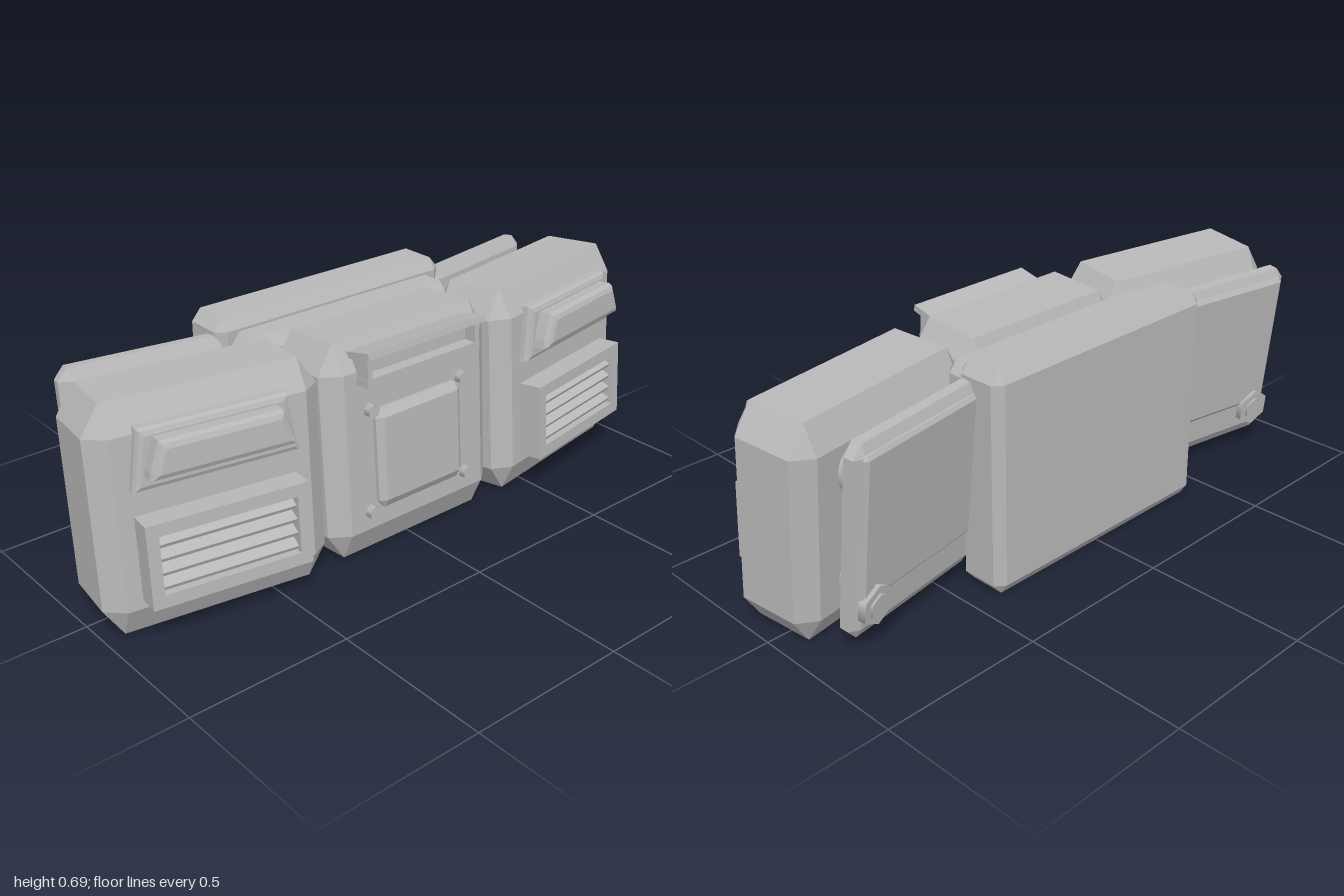
import * as THREE from 'three';
import { ConvexGeometry } from 'three/addons/geometries/ConvexGeometry.js';

const grey = new THREE.MeshStandardMaterial({ color: 0xb8b8b8 });
grey.name = 'plain grey';

function add(parent, name, geometry, x = 0, y = 0, z = 0) {
  const mesh = new THREE.Mesh(geometry, grey);
  mesh.name = name;
  mesh.position.set(x, y, z);
  parent.add(mesh);
  return mesh;
}

// Box with every edge cut off; h = half sizes, c = cut along each axis
function cutBox([hx, hy, hz], [cx, cy, cz]) {
  const points = [];
  for (const x of [-1, 1]) for (const y of [-1, 1]) for (const z of [-1, 1]) {
    points.push(
      new THREE.Vector3(x * (hx - cx), y * (hy - cy), z * hz),
      new THREE.Vector3(x * (hx - cx), y * hy, z * (hz - cz)),
      new THREE.Vector3(x * hx, y * (hy - cy), z * (hz - cz)));
  }
  return new ConvexGeometry(points);
}

const box = (w, h, d) => new THREE.BoxGeometry(w, h, d);

// Upright trapezoid with bevelled front, starting at z = 0
function trapezoid(bottom, top, h, depth, bevel) {
  const shape = new THREE.Shape([
    [-bottom, -h], [bottom, -h], [bottom - 0.005, -h + 0.025],
    [top, h], [-top, h], [-bottom + 0.005, -h + 0.025],
  ].map(([x, y]) => new THREE.Vector2(x, y)));
  return new THREE.ExtrudeGeometry(shape, {
    depth: depth - bevel, bevelThickness: bevel, bevelSize: bevel,
    bevelOffset: -bevel, bevelSegments: 2,
  });
}

// Flat-sided bolt lying along z
function bolt(parent, name, radius, depth, x, y, z, sides = 6) {
  const g = new THREE.CylinderGeometry(radius, radius, depth, sides).rotateX(Math.PI / 2);
  return add(parent, name, sides > 8 ? g : g.toNonIndexed(), x, y, z);
}

function tilted(parent, name, x, y, z, yaw, tilt) {
  const g = new THREE.Group();
  g.name = name;
  g.position.set(x, y, z);
  g.rotation.set(tilt, yaw, 0, 'YXZ');
  parent.add(g);
  return g;
}

function buildCentre(root) {
  const g = tilted(root, 'centrePouch', 0, 0.35, 0.085, 0, -0.07);
  add(g, 'centreBlock', cutBox([0.315, 0.333, 0.137], [0.055, 0.085, 0.045]));
  add(g, 'frontPanel', cutBox([0.163, 0.155, 0.03], [0.02, 0.025, 0.015]), 0, -0.033, 0.134);
  for (const s of [-1, 1]) {
    bolt(g, 'panelBolt', 0.021, 0.03, s * 0.175, 0.125, 0.145);
    bolt(g, 'panelBolt', 0.021, 0.03, s * 0.187, -0.19, 0.145);
    add(g, 'slotPost', box(0.016, 0.09, 0.08), s * 0.205, 0.26, 0.145);
  }
  // Hooded slot above the panel
  add(g, 'slotBack', box(0.41, 0.085, 0.05), 0, 0.26, 0.118);
  add(g, 'slotSill', box(0.43, 0.025, 0.08), 0, 0.224, 0.145);
  add(g, 'slotHood', box(0.445, 0.02, 0.1), 0, 0.302, 0.153).rotation.x = -0.17;
}

function buildSide(root, s) {
  const g = tilted(root, s > 0 ? 'leftPouch' : 'rightPouch', s * 0.65, 0.35, 0.045, s * 0.165, -0.07);
  add(g, 'sideBlock', cutBox([0.335, 0.333, 0.137], [0.055, 0.085, 0.045]));

  // Louvred vent
  const frame = new THREE.Shape([[-0.235, -0.122], [0.235, -0.122], [0.235, 0.122], [-0.235, 0.122]]
    .map(([x, y]) => new THREE.Vector2(x, y)));
  frame.holes.push(new THREE.Path([[-0.2, -0.085], [-0.2, 0.085], [0.2, 0.085], [0.2, -0.085]]
    .map(([x, y]) => new THREE.Vector2(x, y))));
  add(g, 'ventFrame', new THREE.ExtrudeGeometry(frame, { depth: 0.09, bevelEnabled: false }), 0, -0.1, 0.12);
  for (let i = 0; i < 4; i++) {
    add(g, 'ventSlat', box(0.4, 0.012, 0.062), 0, -0.16 + i * 0.041, 0.168).rotation.x = 0.45;
  }

  // Lamp on its bevelled base
  add(g, 'lampBase', trapezoid(0.24, 0.212, 0.085, 0.055, 0.018), 0, 0.182, 0.115);
  add(g, 'lamp', trapezoid(0.208, 0.175, 0.052, 0.105, 0.02), 0, 0.193, 0.12);

  // Round spacers toward the rear plate
  for (const y of [0.165, -0.16]) bolt(g, 'spacer', 0.078, 0.1, s * 0.13, y, -0.155, 32);

  // Rear plate with a raised upper cover and a corner bolt
  const p = tilted(root, s > 0 ? 'leftRearPlate' : 'rightRearPlate',
    s * 0.64, 0.36, -0.187, s * 0.165, -0.105);
  add(p, 'rearPlate', cutBox([0.253, 0.297, 0.033], [0.03, 0.035, 0.018]));
  add(p, 'rearCover', cutBox([0.232, 0.225, 0.012], [0.012, 0.012, 0.008]), 0, 0.045, -0.03);
  bolt(p, 'cornerBolt', 0.062, 0.025, s * 0.18, -0.195, -0.042);
  bolt(p, 'boltHead', 0.038, 0.03, s * 0.18, -0.195, -0.046);
}

export function createModel() {
  const root = new THREE.Group();
  root.name = 'pouchPack';
  buildCentre(root);
  for (const s of [-1, 1]) buildSide(root, s);
  // Connector and large back plate
  add(root, 'connector', cutBox([0.388, 0.31, 0.085], [0.03, 0.035, 0.03]), 0, 0.35, -0.125);
  add(root, 'backPlate', cutBox([0.43, 0.345, 0.08], [0.03, 0.035, 0.024]), 0, 0.357, -0.22);
  return root;
}
